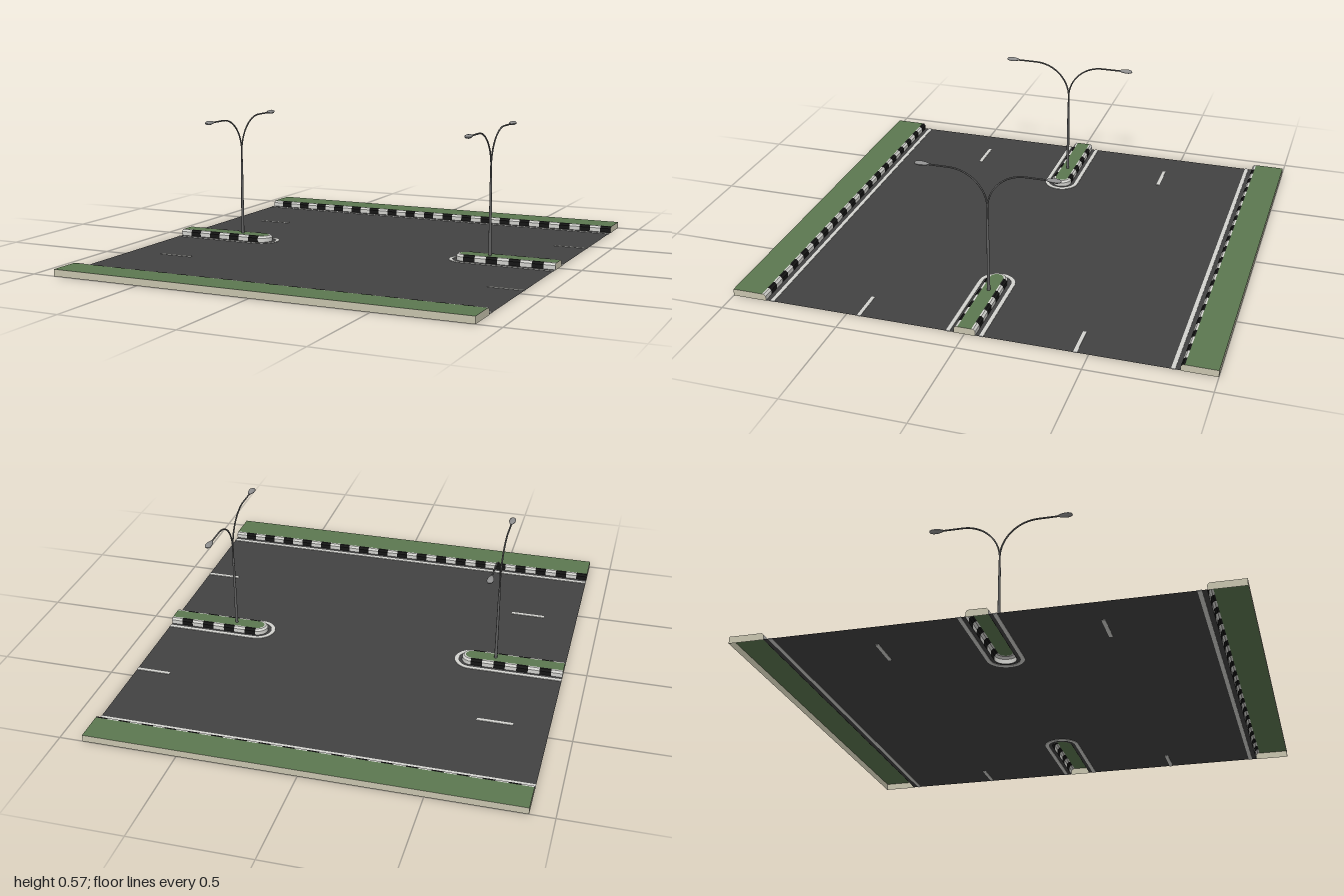
import * as THREE from 'three';
import { mergeGeometries } from 'three/addons/utils/BufferGeometryUtils.js';

const HALF_X = 0.9, VERGE_Z = 0.855, TOP = 0.029, ROAD_Y = 0.002;
const ISLAND_R = 0.045, ISLAND_X = -0.497, SEG = 0.05;
// Kerb section: [distance in from the outer edge, height]
const KERB = [[0, 0], [0, 0.02], [0.008, TOP], [0.016, TOP]];
const KERB_IN = 0.016;

function makeMaterial(name, color) {
  const m = new THREE.MeshStandardMaterial({ color, side: THREE.DoubleSide });
  m.name = name;
  return m;
}

function addMesh(parent, name, geometry, material, x = 0, y = 0, z = 0) {
  const mesh = new THREE.Mesh(geometry, material);
  mesh.name = name;
  mesh.position.set(x, y, z);
  parent.add(mesh);
  return mesh;
}

// Sweep the kerb section along points [x, z, outward x, outward z]
function kerbStrip(path) {
  const pos = [];
  const at = (p, [d, y]) => [p[0] - p[2] * d, y, p[1] - p[3] * d];
  for (let i = 0; i + 1 < path.length; i++) {
    for (let j = 0; j + 1 < KERB.length; j++) {
      const a = at(path[i], KERB[j]), b = at(path[i + 1], KERB[j]);
      const c = at(path[i + 1], KERB[j + 1]), d = at(path[i], KERB[j + 1]);
      pos.push(...a, ...b, ...c, ...a, ...c, ...d);
    }
  }
  const g = new THREE.BufferGeometry();
  g.setAttribute('position', new THREE.Float32BufferAttribute(pos, 3));
  g.computeVertexNormals();
  return g;
}

// Flat shape drawn in x/z, laid facing up
const layFlat = (geometry) => geometry.rotateX(-Math.PI / 2);

// Section through a raised bed, facing -x; shape x becomes z
function endCap(points) {
  return new THREE.ShapeGeometry(new THREE.Shape(points.map(p => new THREE.Vector2(...p)))).rotateY(-Math.PI / 2);
}

function islandShape(r) {
  const s = new THREE.Shape();
  s.moveTo(-HALF_X, -r);
  s.lineTo(ISLAND_X, -r);
  s.absarc(ISLAND_X, 0, r, -Math.PI / 2, Math.PI / 2, false);
  s.lineTo(-HALF_X, r);
  return s;
}

export function createModel() {
  const model = new THREE.Group();
  model.name = 'roadSection';

  const asphalt = makeMaterial('asphalt', 0x424242);
  const grass = makeMaterial('grass', 0x5c7850);
  const concrete = makeMaterial('concrete', 0xc8c4ae);
  const white = makeMaterial('white paint', 0xd2d2ce);
  const black = makeMaterial('black paint', 0x151515);
  const poleGrey = makeMaterial('pole grey', 0x606060);
  const lampGrey = makeMaterial('lamp grey', 0x8e8e8e);

  // Road surface, notched around both islands
  const road = new THREE.Shape();
  const r = ISLAND_R, q = Math.PI / 2;
  road.moveTo(-HALF_X, -VERGE_Z);
  road.lineTo(HALF_X, -VERGE_Z);
  road.lineTo(HALF_X, -r);
  road.lineTo(-ISLAND_X, -r);
  road.absarc(-ISLAND_X, 0, r, -q, q - Math.PI * 2, true);
  road.lineTo(HALF_X, r);
  road.lineTo(HALF_X, VERGE_Z);
  road.lineTo(-HALF_X, VERGE_Z);
  road.lineTo(-HALF_X, r);
  road.lineTo(ISLAND_X, r);
  road.absarc(ISLAND_X, 0, r, q, -q, true);
  road.lineTo(-HALF_X, -r);
  addMesh(model, 'roadSurface', layFlat(new THREE.ShapeGeometry(road, 12)), asphalt, 0, ROAD_Y, 0);

  // Lane dashes
  for (const z of [-0.447, 0.447]) {
    for (const x of [-0.675, 0.825]) {
      addMesh(model, 'laneDash', new THREE.BoxGeometry(0.15, 0.004, 0.015), white, x, ROAD_Y, z);
    }
  }

  // Each half turn holds one verge, one island and one street lamp
  for (const turn of [0, Math.PI]) {
    const half = new THREE.Group();
    half.name = turn ? 'frontHalf' : 'backHalf';
    half.rotation.y = turn;
    model.add(half);
    half.add(makeVerge(), makeIsland(), makeLamp());
  }
  return model;

  function addKerbs(group, whiteStrips, blackStrips) {
    addMesh(group, 'whiteKerb', mergeGeometries(whiteStrips), white);
    addMesh(group, 'blackKerb', mergeGeometries(blackStrips), black);
  }

  function makeVerge() {
    const g = new THREE.Group();
    g.name = 'verge';
    const inner = VERGE_Z + KERB_IN, depth = 1 - inner;
    addMesh(g, 'grassTop', layFlat(new THREE.PlaneGeometry(HALF_X * 2, depth)), grass, 0, TOP, -inner - depth / 2);
    addMesh(g, 'outerWall', new THREE.PlaneGeometry(HALF_X * 2, TOP).rotateY(Math.PI), concrete, 0, TOP / 2, -1);
    const section = [[-1, 0], ...KERB.map(([d, y]) => [-VERGE_Z - d, y]), [-1, TOP]];
    for (const x of [-HALF_X, HALF_X]) addMesh(g, 'endWall', endCap(section), concrete, x);
    // Alternating kerb blocks
    const strips = [[], []];
    for (let i = 0; i < 36; i++) {
      const x = -HALF_X + i * SEG;
      strips[i % 2].push(kerbStrip([[x, -VERGE_Z, 0, 1], [x + SEG, -VERGE_Z, 0, 1]]));
    }
    addKerbs(g, ...strips);
    addMesh(g, 'edgeLine', new THREE.BoxGeometry(HALF_X * 2, 0.004, 0.016), white, 0, ROAD_Y, -0.827);
    return g;
  }

  function makeIsland() {
    const g = new THREE.Group();
    g.name = 'island';
    addMesh(g, 'grassTop', layFlat(new THREE.ShapeGeometry(islandShape(ISLAND_R - KERB_IN), 12)), grass, 0, TOP, 0);
    const side = KERB.slice(0, 3);
    const section = [...side.map(([d, y]) => [ISLAND_R - d, y]), ...side.map(([d, y]) => [d - ISLAND_R, y]).reverse()];
    addMesh(g, 'endWall', endCap(section), concrete, -HALF_X);
    // Straight kerbs on both sides, then the white rounded nose
    const strips = [[], []];
    const step = (ISLAND_X + HALF_X) / 8;
    for (let i = 0; i < 8; i++) {
      const x0 = -HALF_X + i * step, x1 = x0 + step;
      strips[i % 2].push(
        kerbStrip([[x0, ISLAND_R, 0, 1], [x1, ISLAND_R, 0, 1]]),
        kerbStrip([[x1, -ISLAND_R, 0, -1], [x0, -ISLAND_R, 0, -1]]));
    }
    const nose = [];
    for (let i = 0; i <= 12; i++) {
      const a = Math.PI * i / 12, nx = Math.sin(a), nz = Math.cos(a);
      nose.push([ISLAND_X + nx * ISLAND_R, nz * ISLAND_R, nx, nz]);
    }
    strips[0].push(kerbStrip(nose));
    addKerbs(g, ...strips);
    // Painted line around the island
    const line = islandShape(0.077), inner = 0.061;
    line.lineTo(-HALF_X, inner);
    line.lineTo(ISLAND_X, inner);
    line.absarc(ISLAND_X, 0, inner, Math.PI / 2, -Math.PI / 2, true);
    line.lineTo(-HALF_X, -inner);
    const plate = new THREE.ExtrudeGeometry(line, { depth: 0.004, bevelEnabled: false, curveSegments: 16 });
    addMesh(g, 'islandLine', layFlat(plate), white);
    return g;
  }

  function makeLamp() {
    const g = new THREE.Group();
    g.name = 'streetLamp';
    g.position.x = -0.6;
    addMesh(g, 'lowerPole', new THREE.CylinderGeometry(0.005, 0.007, 0.33, 8), poleGrey, 0, TOP + 0.165, 0);
    addMesh(g, 'upperPole', new THREE.CylinderGeometry(0.004, 0.004, 0.06, 8), poleGrey, 0, 0.385, 0);
    for (const s of [1, -1]) {
      const v = (y, z) => new THREE.Vector3(0, y, z * s);
      const path = new THREE.CurvePath();
      path.add(new THREE.CubicBezierCurve3(v(0.405, 0), v(0.49, 0), v(0.563, 0.07), v(0.563, 0.16)));
      path.add(new THREE.LineCurve3(v(0.563, 0.16), v(0.563, 0.25)));
      addMesh(g, 'arm', new THREE.TubeGeometry(path, 20, 0.0036, 6, false), poleGrey);
      // Flattened head, widest towards its tip
      const head = new THREE.SphereGeometry(1, 10, 6).rotateX(Math.PI / 2);
      const p = head.attributes.position;
      for (let i = 0; i < p.count; i++) {
        const taper = 0.8 + 0.25 * p.getZ(i) * s;
        p.setXYZ(i, p.getX(i) * 0.018 * taper, p.getY(i) * 0.011 * taper, p.getZ(i) * 0.033);
      }
      head.computeVertexNormals();
      addMesh(g, 'lampHead', head, lampGrey, 0, 0.564, 0.271 * s);
    }
    return g;
  }
}
